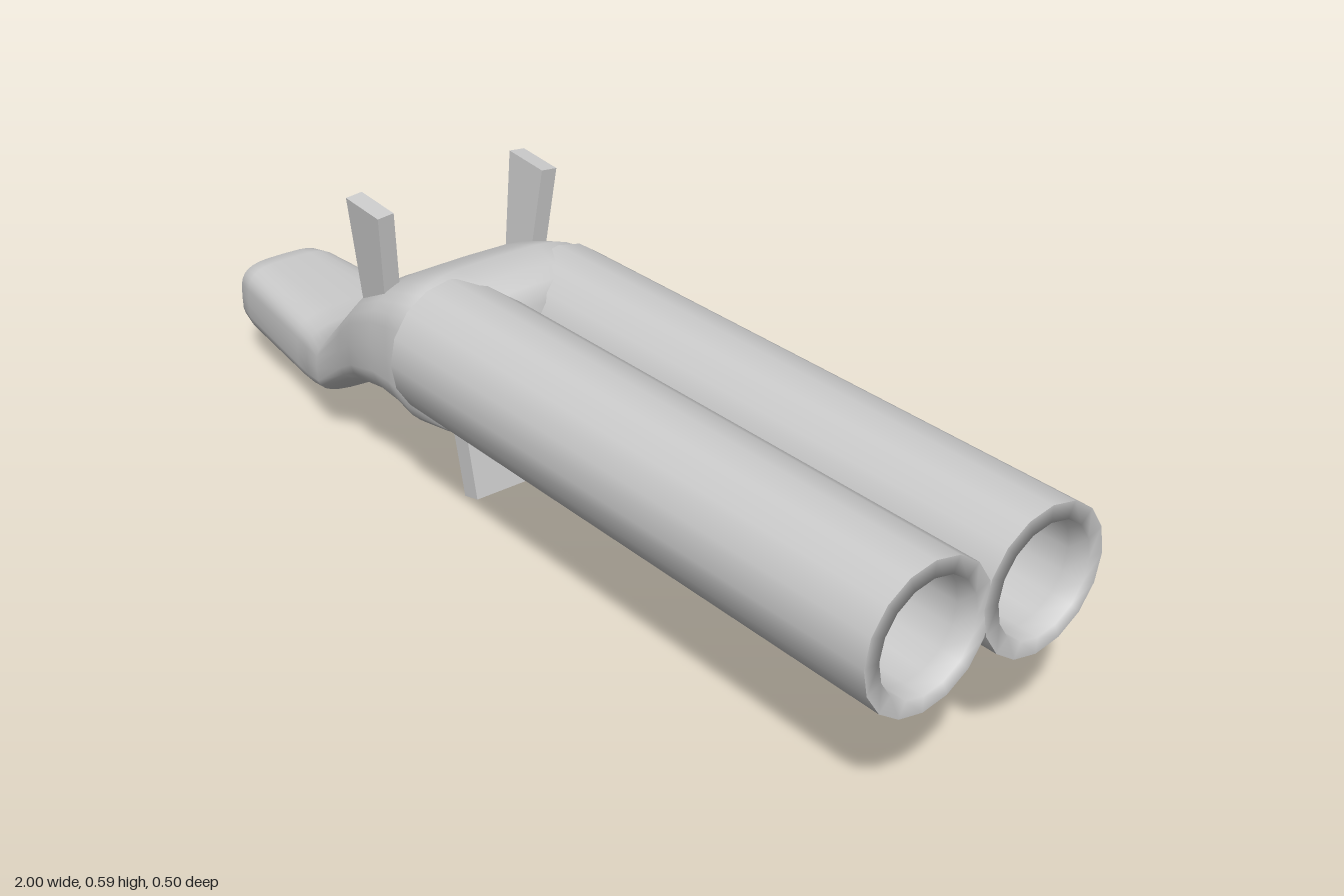
import * as THREE from 'three';

const material = new THREE.MeshStandardMaterial({ color: 0xcccccc, side: THREE.DoubleSide });

function addMesh(group, name, geometry) {
  const mesh = new THREE.Mesh(geometry, material);
  mesh.name = name;
  group.add(mesh);
  return mesh;
}

// Rounded-box cross-sections joined along x: [x, bottom, top, half width]
function loft(stations, sides, power) {
  const positions = [], index = [];
  const round = v => Math.sign(v) * Math.pow(Math.abs(v), 2 / power);
  for (const [x, bottom, top, halfWidth] of stations) {
    for (let j = 0; j < sides; j++) {
      const a = (j / sides) * Math.PI * 2;
      positions.push(x, (top + bottom) / 2 + round(Math.sin(a)) * (top - bottom) / 2, round(Math.cos(a)) * halfWidth);
    }
  }
  for (let i = 0; i < stations.length - 1; i++) {
    for (let j = 0; j < sides; j++) {
      const k = (j + 1) % sides;
      const a = i * sides + j, b = a + sides, c = i * sides + k, d = c + sides;
      index.push(a, b, c, b, d, c);
    }
  }
  const geometry = new THREE.BufferGeometry();
  geometry.setAttribute('position', new THREE.Float32BufferAttribute(positions, 3));
  geometry.setIndex(index);
  geometry.computeVertexNormals();
  return geometry;
}

// Flat plate cut from a side outline and centred on z = 0
function plate(outline, thickness) {
  const shape = new THREE.Shape(outline.map(([x, y]) => new THREE.Vector2(x, y)));
  const geometry = new THREE.ExtrudeGeometry(shape, { depth: thickness, bevelEnabled: false });
  return geometry.translate(0, 0, -thickness / 2);
}

export function createModel() {
  const model = new THREE.Group();
  model.name = 'doubleBarrelGun';

  // Stock: grip, rising neck and the rounded nose between the barrels
  addMesh(model, 'stock', loft([
    [-1, 0.145, 0.145, 0],
    [-1, 0.09, 0.20, 0.09],
    [-1, 0.09, 0.20, 0.09],
    [-0.98, 0.077, 0.214, 0.103],
    [-0.94, 0.068, 0.22, 0.111],
    [-0.70, 0.06, 0.214, 0.14],
    [-0.63, 0.077, 0.22, 0.16],
    [-0.56, 0.10, 0.232, 0.18],
    [-0.47, 0.152, 0.33, 0.182],
    [-0.38, 0.195, 0.405, 0.215],
    [-0.30, 0.204, 0.45, 0.217],
    [-0.25, 0.196, 0.468, 0.217],
    [-0.20, 0.18, 0.485, 0.217],
    [-0.14, 0.178, 0.475, 0.195],
    [-0.105, 0.198, 0.46, 0.12],
    [-0.085, 0.22, 0.43, 0.05],
    [-0.08, 0.33, 0.33, 0],
  ], 32, 3.6));

  // Barrels: closed at the back, with a deep bore (repeated points keep edges sharp)
  const profile = [
    [0, -0.18], [0.13, -0.18], [0.13, -0.18], [0.13, 1], [0.13, 1],
    [0.1, 1], [0.1, 0.96], [0.1, 0.5], [0.055, 0.49], [0, 0.49],
  ].map(([r, h]) => new THREE.Vector2(r, h));
  const barrel = new THREE.LatheGeometry(profile, 16).rotateZ(-Math.PI / 2);

  // Hammers: tapered plates leaning outwards
  const hammer = plate([[-0.375, 0.34], [-0.305, 0.34], [-0.285, 0.582], [-0.387, 0.59]], 0.034);

  for (const [side, sign] of [['left', 1], ['right', -1]]) {
    const barrelMesh = addMesh(model, side + 'Barrel', barrel);
    barrelMesh.position.set(0, 0.35, sign * 0.122);

    const leaning = hammer.clone().translate(0, -0.48, 0).rotateX(sign * 0.1);
    addMesh(model, side + 'Hammer', leaning).position.set(0, 0.48, sign * 0.172);
  }

  // Trigger: broad plate slanting down and forward
  addMesh(model, 'trigger', plate([[-0.282, 0.25], [-0.218, 0], [-0.178, 0.01], [-0.236, 0.25]], 0.145));

  return model;
}
